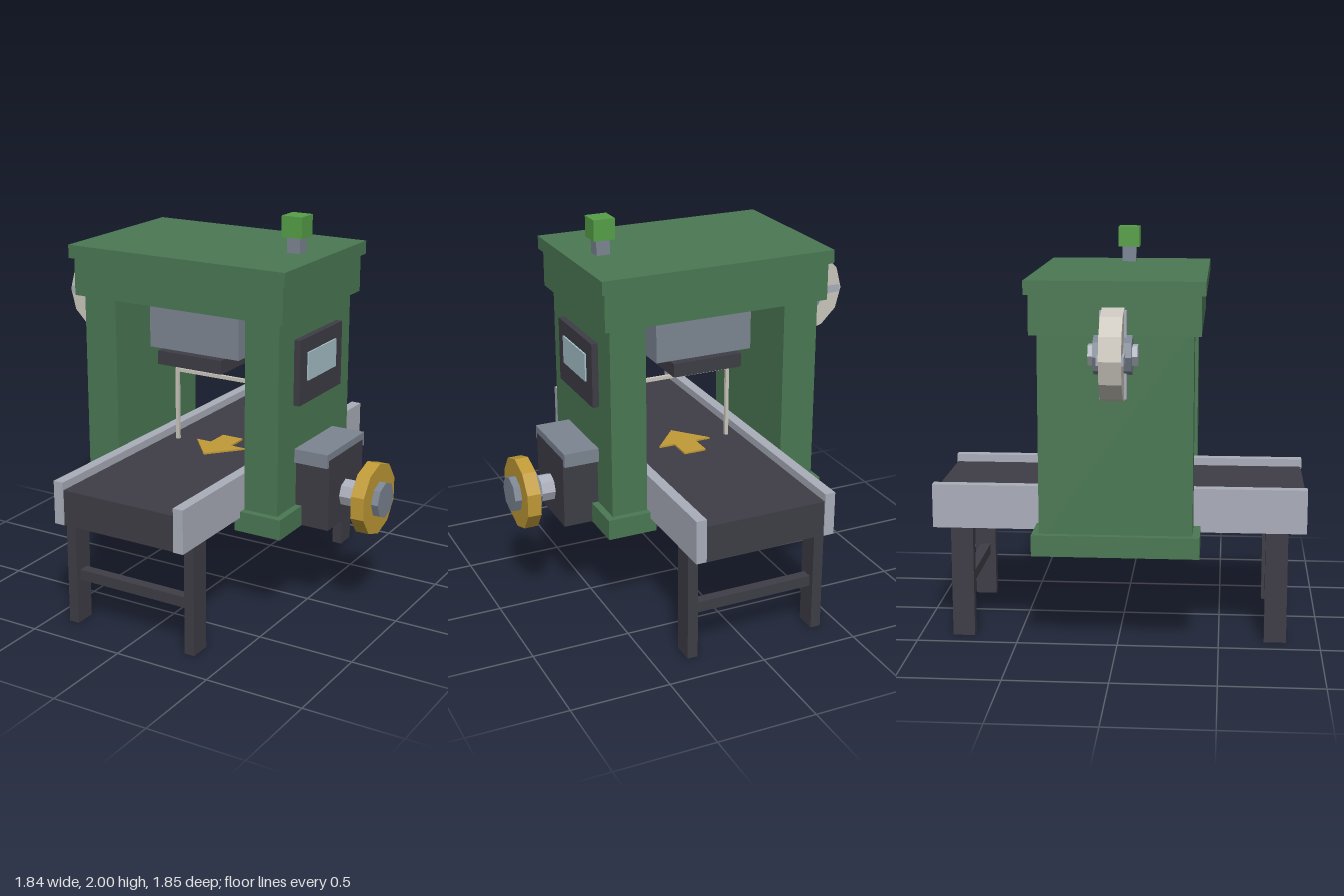
import * as THREE from 'three';

const mat = (name, color) => {
  const m = new THREE.MeshStandardMaterial({ color });
  m.name = name;
  return m;
};

export function createModel() {
  const green = mat('housing green', 0x4b7854);
  const dark = mat('dark steel', 0x3e3d46);
  const grey = mat('machine grey', 0x7c8592);
  const light = mat('light metal', 0xaaaeba);
  const yellow = mat('safety yellow', 0xc09a36);
  const beige = mat('pale metal', 0xcac6bc);
  const glass = mat('screen blue', 0xa6c2ca);
  const lamp = mat('lamp green', 0x56a048);
  const model = new THREE.Group();
  model.name = 'conveyorPress';

  const add = (name, geo, material) => {
    const mesh = new THREE.Mesh(geo, material);
    mesh.name = name;
    model.add(mesh);
    return mesh;
  };
  // Box from its limits on each axis
  const box = (name, material, x0, x1, y0, y1, z0, z1) =>
    add(name, new THREE.BoxGeometry(x1 - x0, y1 - y0, z1 - z0), material)
      .position.set((x0 + x1) / 2, (y0 + y1) / 2, (z0 + z1) / 2);
  // Faceted disc along x or z, with its corners turned by phase
  const disc = (name, material, axis, r, length, sides, phase, x, y, z) => {
    const geo = new THREE.CylinderGeometry(r, r, length, sides, 1, false, phase).toNonIndexed();
    if (axis === 'x') geo.rotateZ(-Math.PI / 2);
    else geo.rotateX(Math.PI / 2);
    geo.computeVertexNormals();
    add(name, geo, material).position.set(x, y, z);
  };
  const mid = -0.0375;

  // Conveyor
  box('conveyorBelt', dark, -0.353, 0.277, 0.56, 0.74, -0.92, 0.92);
  for (const s of [-1, 1]) {
    const a = mid + s * 0.3675, b = mid + s * 0.314;
    const x0 = Math.min(a, b), x1 = Math.max(a, b);
    box('sideRail', light, x0, x1, 0.56, 0.78, -0.925, 0.925);
    for (const z of [-0.78, 0.78]) box('leg', dark, x0, x1, 0, 0.56, z - 0.055, z + 0.055);
  }
  for (const z of [-0.78, 0.78]) box('crossBar', dark, -0.353, 0.277, 0.225, 0.28, z - 0.027, z + 0.027);

  // Direction arrow on the belt, pointing to the front
  const arrow = new THREE.Shape([
    [0, -0.15], [0.145, 0.02], [0.06, 0.02], [0.06, 0.145],
    [-0.06, 0.145], [-0.06, 0.02], [-0.145, 0.02],
  ].map(([x, y]) => new THREE.Vector2(x, y)));
  const arrowGeo = new THREE.ExtrudeGeometry(arrow, { depth: 0.009, bevelEnabled: false });
  arrowGeo.rotateX(-Math.PI / 2);
  add('beltArrow', arrowGeo, yellow).position.set(mid, 0.74, 0);

  // Sensor arch over the belt
  for (const x of [-0.287, 0.212]) box('archPost', beige, x - 0.009, x + 0.009, 0.74, 1.13, -0.009, 0.009);
  box('archBar', beige, -0.278, 0.203, 1.112, 1.13, -0.009, 0.009);

  // Housing
  for (const x of [-0.503, 0.425]) {
    box('pillar', green, x - 0.092, x + 0.092, 0.55, 1.6, -0.37, 0.37);
    box('pillarBase', green, x - 0.127, x + 0.127, 0.488, 0.592, -0.405, 0.405);
  }
  box('header', green, -0.63, 0.553, 1.56, 1.75, -0.405, 0.405);
  box('roof', green, -0.65, 0.572, 1.75, 1.817, -0.425, 0.425);

  // Press head
  box('pressHead', grey, -0.297, 0.218, 1.3, 1.57, -0.235, 0.235);
  box('pressPlate', dark, -0.222, 0.145, 1.23, 1.3, -0.28, 0.28);

  // Signal lamp
  box('lampStem', grey, 0.37, 0.44, 1.81, 1.9, -0.035, 0.035);
  box('signalLamp', lamp, 0.35, 0.46, 1.895, 2, -0.055, 0.055);

  // Control screen
  box('screenFrame', dark, 0.51, 0.55, 1.118, 1.445, -0.22, 0.22);
  box('screen', glass, 0.549, 0.558, 1.23, 1.372, -0.147, 0.147);

  // Drive motor and handwheel
  box('motor', dark, 0.51, 0.7, 0.49, 0.855, -0.183, 0.183);
  box('motorCap', grey, 0.51, 0.698, 0.82, 0.89, -0.203, 0.203);
  disc('wheelShaft', light, 'x', 0.07, 0.1, 8, 0, 0.74, 0.635, 0);
  disc('wheelHub', grey, 'x', 0.092, 0.145, 8, 0, 0.848, 0.635, 0);
  disc('handwheel', yellow, 'x', 0.184, 0.07, 10, Math.PI / 2, 0.85, 0.635, 0);

  // Side disc with spokes and hub
  const cx = -0.705, cy = 1.484;
  disc('sideDisc', beige, 'z', 0.218, 0.104, 12, 0, cx, cy, 0);
  box('discBracket', dark, -0.7, -0.58, 1.428, 1.54, -0.058, 0.058);
  box('spokeUpright', light, cx - 0.02, cx + 0.02, cy - 0.205, cy + 0.205, -0.062, 0.062);
  box('spokeLevel', light, cx - 0.205, cx + 0.205, cy - 0.02, cy + 0.02, -0.062, 0.062);
  disc('discHub', grey, 'z', 0.092, 0.18, 8, 0, cx, cy, 0);
  disc('discNut', light, 'z', 0.054, 0.23, 6, Math.PI / 2, cx, cy, 0);

  return model;
}
